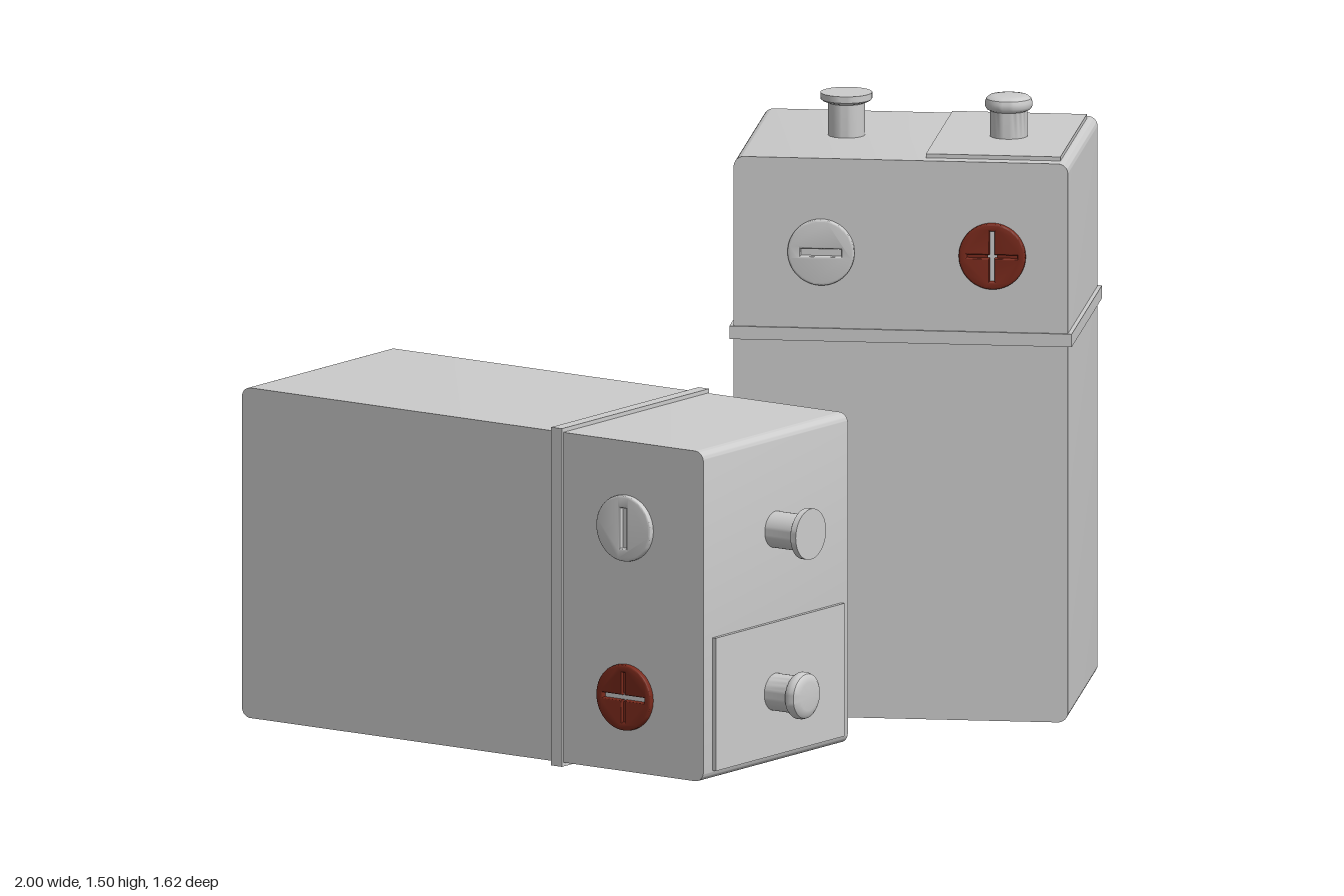
import * as THREE from 'three';
import { toCreasedNormals } from 'three/addons/utils/BufferGeometryUtils.js';

const grey = new THREE.MeshStandardMaterial({ color: 0xcccccc });
const red = new THREE.MeshStandardMaterial({ color: 0x7a2a1c });

function add(parent, name, geometry, material, x, y, z) {
  const mesh = new THREE.Mesh(geometry, material);
  mesh.name = name;
  mesh.position.set(x, y, z);
  parent.add(mesh);
  return mesh;
}

// Block whose four edges along z are rounded, centred on the origin
function roundedBlock(w, h, d, r) {
  const x = w / 2 - r, y = h / 2 - r;
  const s = new THREE.Shape();
  s.absarc(x, y, r, 0, Math.PI / 2);
  s.absarc(-x, y, r, Math.PI / 2, Math.PI);
  s.absarc(-x, -y, r, Math.PI, Math.PI * 1.5);
  s.absarc(x, -y, r, Math.PI * 1.5, Math.PI * 2);
  const g = new THREE.ExtrudeGeometry(s, { depth: d, bevelEnabled: false, curveSegments: 8 });
  g.translate(0, 0, -d / 2);
  return toCreasedNormals(g, 0.6);
}

// Turned terminal from [radius, height] points
function terminal(points) {
  const g = new THREE.LatheGeometry(points.map(([r, y]) => new THREE.Vector2(r, y)), 40);
  return toCreasedNormals(g, 0.6);
}

// Round polarity disc with a groove cut through it
function disc(groove) {
  const s = new THREE.Shape().absarc(0, 0, 0.077, 0, Math.PI * 2);
  s.holes.push(new THREE.Path(groove.map(([x, y]) => new THREE.Vector2(x, y))));
  const g = new THREE.ExtrudeGeometry(s, {
    depth: 0.007, curveSegments: 32,
    bevelThickness: 0.005, bevelSize: 0.005, bevelSegments: 3,
  });
  return toCreasedNormals(g, 0.6);
}

// Battery standing on its base centre, polarity discs facing +z
function battery(name) {
  const b = new THREE.Group();
  b.name = name;
  add(b, 'body', roundedBlock(0.82, 1.387, 0.6, 0.025), grey, 0, 0.6935, 0);
  add(b, 'band', new THREE.BoxGeometry(0.84, 0.032, 0.612), grey, 0, 0.95, 0);
  add(b, 'topPlate', new THREE.BoxGeometry(0.33, 0.012, 0.535), grey, 0.222, 1.391, -0.005);

  // Terminals
  add(b, 'flaredTerminal', terminal([
    [0.045, 0], [0.045, 0.083], [0.058, 0.088], [0.063, 0.092], [0.063, 0.108], [0, 0.108],
  ]), grey, -0.17, 1.385, 0);
  add(b, 'roundedTerminal', terminal([
    [0.046, 0], [0.046, 0.076], [0.054, 0.08], [0.058, 0.087], [0.058, 0.097],
    [0.055, 0.106], [0.047, 0.112], [0.035, 0.114], [0, 0.114],
  ]), grey, 0.23, 1.385, 0.015);

  // Polarity discs
  const l = 0.067, v = 0.011, h = 0.009;
  add(b, 'negativeDisc', disc([
    [-0.055, -0.014], [0.055, -0.014], [0.055, 0.014], [-0.055, 0.014],
  ]), grey, -0.195, 1.155, 0.302);
  add(b, 'positiveDisc', disc([
    [-v, -l], [v, -l], [v, -h], [l, -h], [l, h], [v, h],
    [v, l], [-v, l], [-v, h], [-l, h], [-l, -h], [-v, -h],
  ]), red, 0.225, 1.155, 0.302);
  for (const side of [-1, 1]) {
    add(b, 'positiveGrooveFloor', new THREE.BoxGeometry(l - v, 2 * h, 0.006), red,
      0.225 + side * (l + v) / 2, 1.155, 0.302);
  }
  return b;
}

export function createModel() {
  const model = new THREE.Group();
  model.name = 'batteries';

  const standing = battery('standingBattery');
  standing.position.set(0.575, 0.003, -0.505);
  model.add(standing);

  // Second battery lies on its narrow side, terminals turned to the front right
  const lying = battery('lyingBattery');
  const a = 0.505;
  lying.quaternion.setFromRotationMatrix(new THREE.Matrix4().makeBasis(
    new THREE.Vector3(0, -1, 0),
    new THREE.Vector3(Math.cos(a), 0, Math.sin(a)),
    new THREE.Vector3(-Math.sin(a), 0, Math.cos(a)),
  ));
  lying.position.set(-0.855, 0.447, -0.128);
  model.add(lying);
  return model;
}
